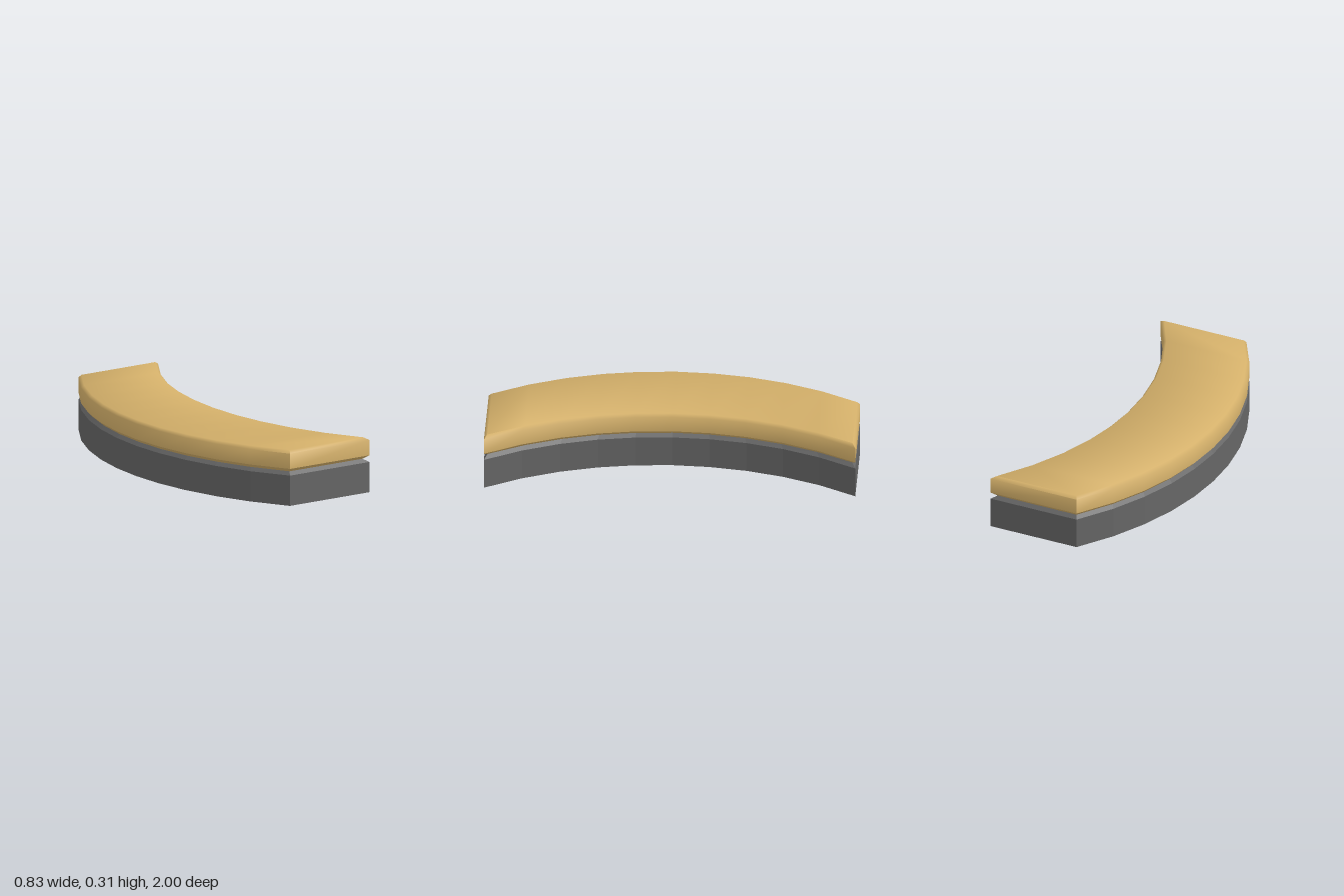
import * as THREE from 'three';
import { toCreasedNormals } from 'three/addons/utils/BufferGeometryUtils.js';

const SEGMENTS = 10;      // facets along the curve
const RADIUS = 1.745;     // radius of the curved plan
const HALF_WIDTH = 0.26;
const COUNT = 2 * (SEGMENTS + 1);

// Closed plan outline at height y, drawn in by inset on every side
function outline(y, inset) {
  const outer = [], inner = [];
  for (let i = 0; i <= SEGMENTS; i++) {
    const z = (1 - inset) * (2 * i / SEGMENTS - 1);
    const depth = Math.sqrt(RADIUS * RADIUS - z * z);
    const middle = -0.16 + RADIUS - depth;
    const half = HALF_WIDTH - inset * RADIUS / depth;
    outer.push([middle - half, y, z]);
    inner.unshift([middle + half, y, z]);
  }
  return [...outer, ...inner];
}

// Skin stacked outlines from bottom to top; optionally close the top
function shell(levels, closed, crease) {
  const positions = levels.flatMap(([y, inset]) => outline(y, inset).flat());
  const index = [];
  const quad = (a, b, c, d) => index.push(a, b, c, a, c, d);
  for (let r = 0; r < levels.length - 1; r++) {
    for (let i = 0; i < COUNT; i++) {
      const a = r * COUNT + i, b = r * COUNT + (i + 1) % COUNT;
      quad(a, b, b + COUNT, a + COUNT);
    }
  }
  if (closed) {
    const top = (levels.length - 1) * COUNT;
    for (let i = 0; i < SEGMENTS; i++) {
      quad(top + i, top + i + 1, top + COUNT - 2 - i, top + COUNT - 1 - i);
    }
  }
  const geometry = new THREE.BufferGeometry();
  geometry.setAttribute('position', new THREE.Float32BufferAttribute(positions, 3));
  geometry.setIndex(index);
  return toCreasedNormals(geometry, crease);
}

export function createModel() {
  const group = new THREE.Group();
  group.name = 'curvedBench';
  const upholstery = new THREE.MeshStandardMaterial({ color: 0xd4b06a, side: THREE.DoubleSide });
  upholstery.name = 'golden upholstery';
  const plinth = new THREE.MeshStandardMaterial({ color: 0x666666, side: THREE.DoubleSide });
  plinth.name = 'grey plinth';

  const add = (name, geometry, material) => {
    const mesh = new THREE.Mesh(geometry, material);
    mesh.name = name;
    group.add(mesh);
  };

  // Hollow faceted base, open underneath, with a chamfered upper edge
  add('base', shell([[0, 0], [0.168, 0], [0.187, 0.018]], false, 0.05), plinth);
  // Undercut groove between base and seat
  add('seatUndercut', shell([[0.187, 0.018], [0.205, 0]], false, 0.5), upholstery);
  // Soft seat shell with a rounded top edge
  add('seat', shell([[0.205, 0], [0.29, 0], [0.306, 0.016]], true, 1.0), upholstery);

  return group;
}
